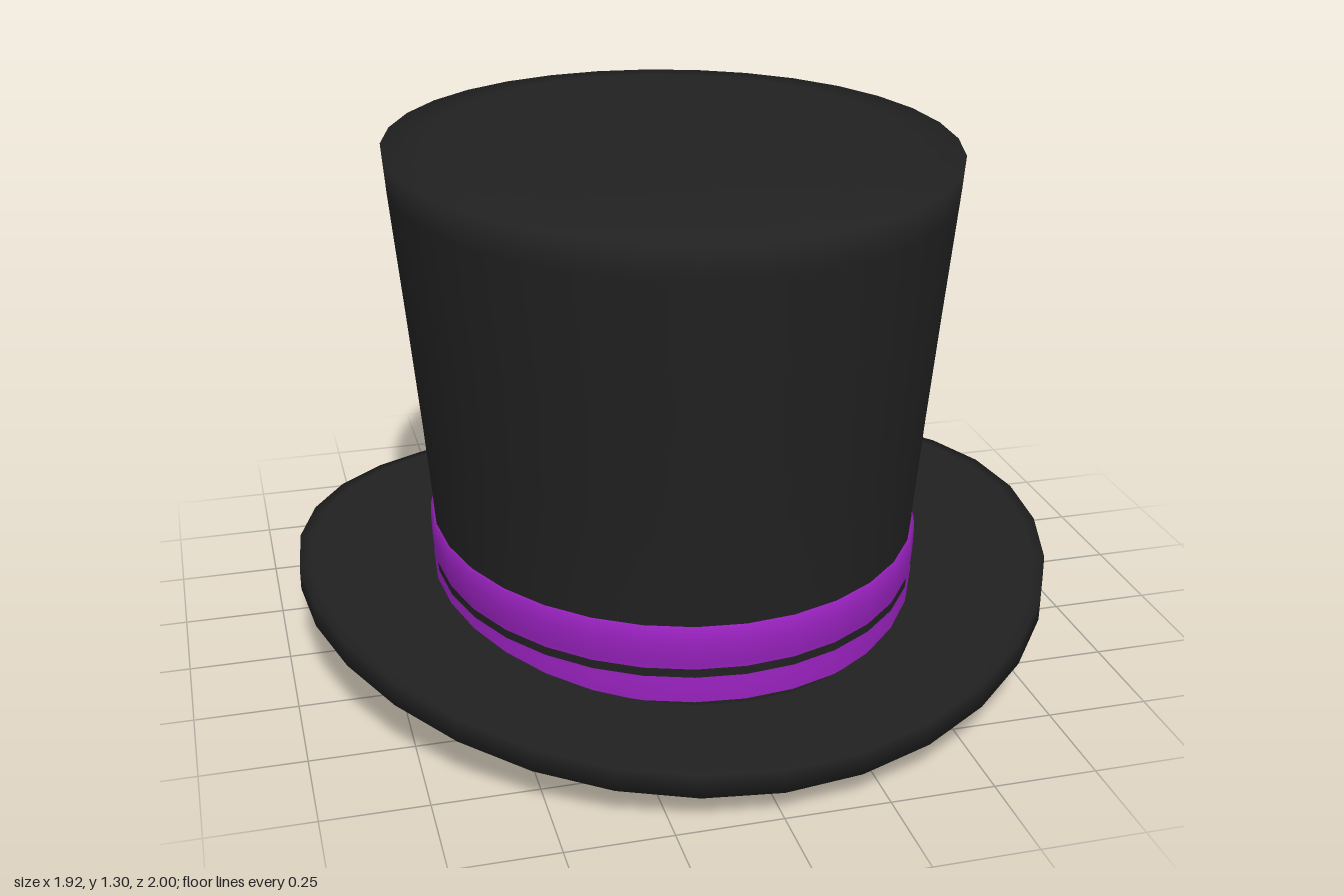
import * as THREE from 'three';
import { mergeVertices } from 'three/addons/utils/BufferGeometryUtils.js';

const SIDES = 32;

// Smooth oval lathe: profile of [radius, y] from the bottom up, sx and sz stretch it,
// bend(x, z) gives an extra height for each vertex.
function ovalLathe(profile, sx, sz, bend) {
  const lathe = new THREE.LatheGeometry(profile.map(([r, y]) => new THREE.Vector2(r, y)), SIDES);
  lathe.deleteAttribute('uv');
  lathe.deleteAttribute('normal');
  const p = lathe.attributes.position;
  for (let i = 0; i < p.count; i++) {
    const x = p.getX(i) * sx, z = p.getZ(i) * sz;
    p.setXYZ(i, x, p.getY(i) + bend(x, z), z);
  }
  const geometry = mergeVertices(lathe, 1e-5);
  geometry.computeVertexNormals();
  return geometry;
}

export function createModel() {
  const black = new THREE.MeshStandardMaterial({ color: 0x212121 });
  black.name = 'black felt';
  const purple = new THREE.MeshStandardMaterial({ color: 0x9a22c0 });
  purple.name = 'purple ribbon';

  const hat = new THREE.Group();
  hat.name = 'topHat';
  const add = (name, geometry, material) => {
    const mesh = new THREE.Mesh(geometry, material);
    mesh.name = name;
    hat.add(mesh);
  };

  // Brim: thick oval disc with a chamfered underside, curled up at both sides
  add('brim', ovalLathe([
    [0, 0.003], [0.45, 0.003], [0.87, 0.01], [1, 0.07],
    [1, 0.128], [0.97, 0.132], [0.7, 0.122], [0, 0.12],
  ], 0.96, 1, (x) => 0.122 * (x / 0.96) ** 2), black);

  // Crown: flares towards a slightly domed top
  add('crown', ovalLathe([
    [0.61, 0.12], [0.612, 0.34], [0.634, 0.6], [0.66, 0.88],
    [0.691, 1.2], [0.698, 1.285], [0.57, 1.298], [0, 1.302],
  ], 1, 1.138, (x, z) => (Math.hypot(x, z) > 0.65 ? -0.012 * z * z : 0)), black);

  // Ribbon: rounded upper strip, crease, then a lower strip that meets the brim
  add('ribbon', ovalLathe([
    [0.607, 0.1], [0.616, 0.19], [0.605, 0.205], [0.618, 0.235],
    [0.62, 0.29], [0.618, 0.328], [0.608, 0.332],
  ], 1, 1.138, () => 0), purple);

  return hat;
}
